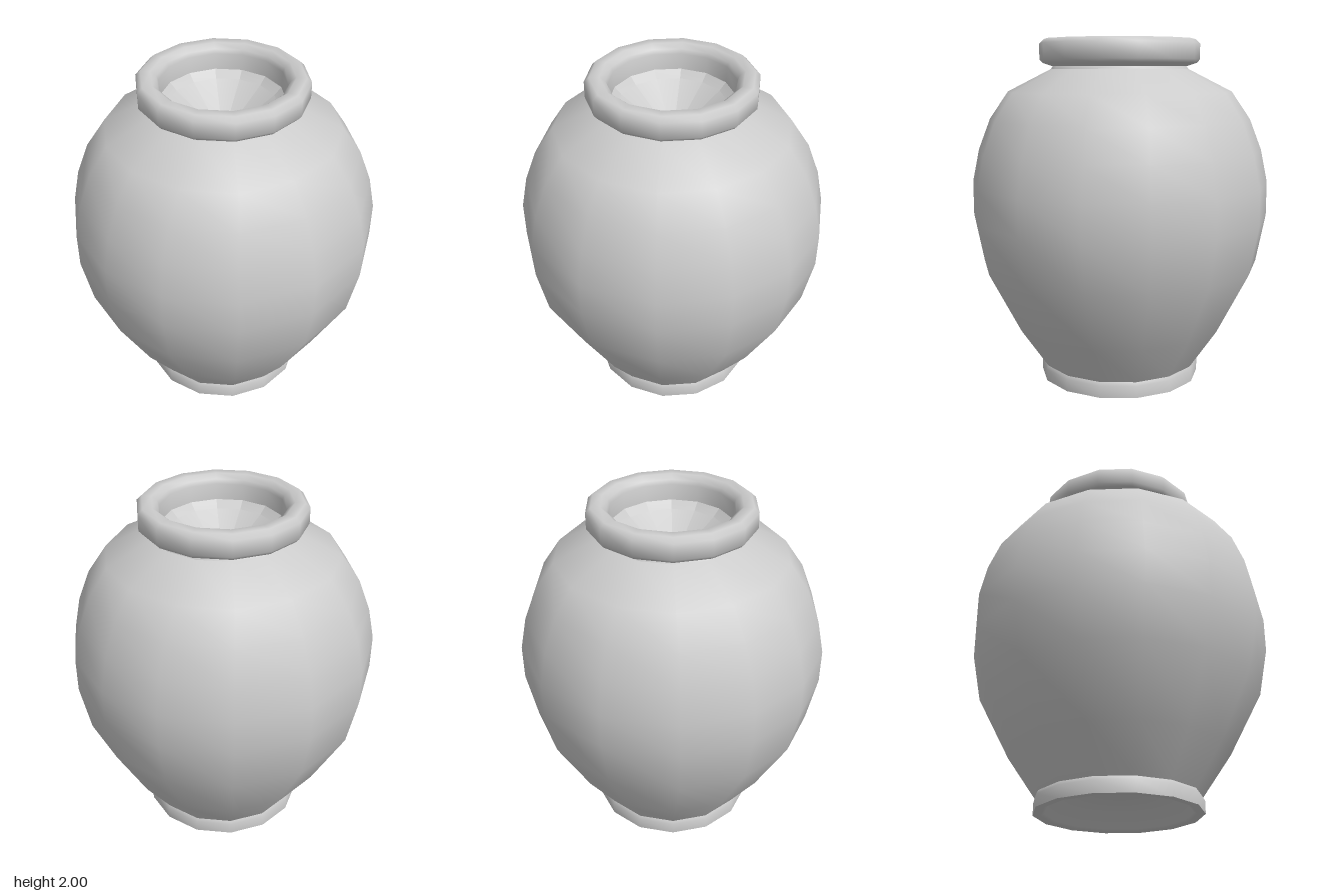
import * as THREE from 'three';
import { toCreasedNormals } from 'three/addons/utils/BufferGeometryUtils.js';

const SIDES = 14;
const material = new THREE.MeshStandardMaterial({ color: 0xcccccc });

// Turned part from [radius, height] pairs, listed upwards along the outside
function turned(name, profile, crease = 0.9) {
  const points = profile.map(([r, y]) => new THREE.Vector2(r, y));
  const lathe = new THREE.LatheGeometry(points, SIDES);
  const pos = lathe.attributes.position;
  // The wide belly has slightly uneven facets: corners drift towards the x axis
  for (let i = 0; i < pos.count; i++) {
    const x = pos.getX(i), z = pos.getZ(i);
    const r = Math.hypot(x, z);
    const a = Math.atan2(x, z);
    const drift = 0.05 * THREE.MathUtils.clamp((r - 0.48) / 0.35, 0, 1);
    const b = a + drift * Math.sin(2 * a);
    pos.setX(i, r * Math.sin(b));
    pos.setZ(i, r * Math.cos(b));
  }
  const mesh = new THREE.Mesh(toCreasedNormals(lathe, crease), material);
  mesh.name = name;
  return mesh;
}

export function createModel() {
  const jar = new THREE.Group();
  jar.name = 'jar';

  // Foot ring with a hollow underside
  jar.add(turned('foot', [
    [0, 0.14], [0.36, 0.09], [0.41, 0.01], [0.43, 0], [0.475, 0],
    [0.475, 0.07], [0.465, 0.09],
  ]));

  // Swelling body up to the neck
  jar.add(turned('body', [
    [0.465, 0.09], [0.63, 0.33], [0.82, 0.69], [0.875, 0.97], [0.875, 1.17],
    [0.835, 1.36], [0.765, 1.54], [0.655, 1.7], [0.4, 1.83],
  ]));

  // Rolled rim with its overhang and inner lip
  jar.add(turned('rim', [
    [0.4, 1.83], [0.39, 1.845], [0.45, 1.865], [0.467, 1.885], [0.467, 1.975],
    [0.44, 2], [0.385, 2], [0.355, 1.975], [0.345, 1.95], [0.34, 1.86],
  ], 1.1));

  // Hollow inside the mouth, narrowing to a point
  jar.add(turned('mouthHollow', [[0.34, 1.86], [0.3, 1.82], [0, 1.62]], 0.3));

  return jar;
}
